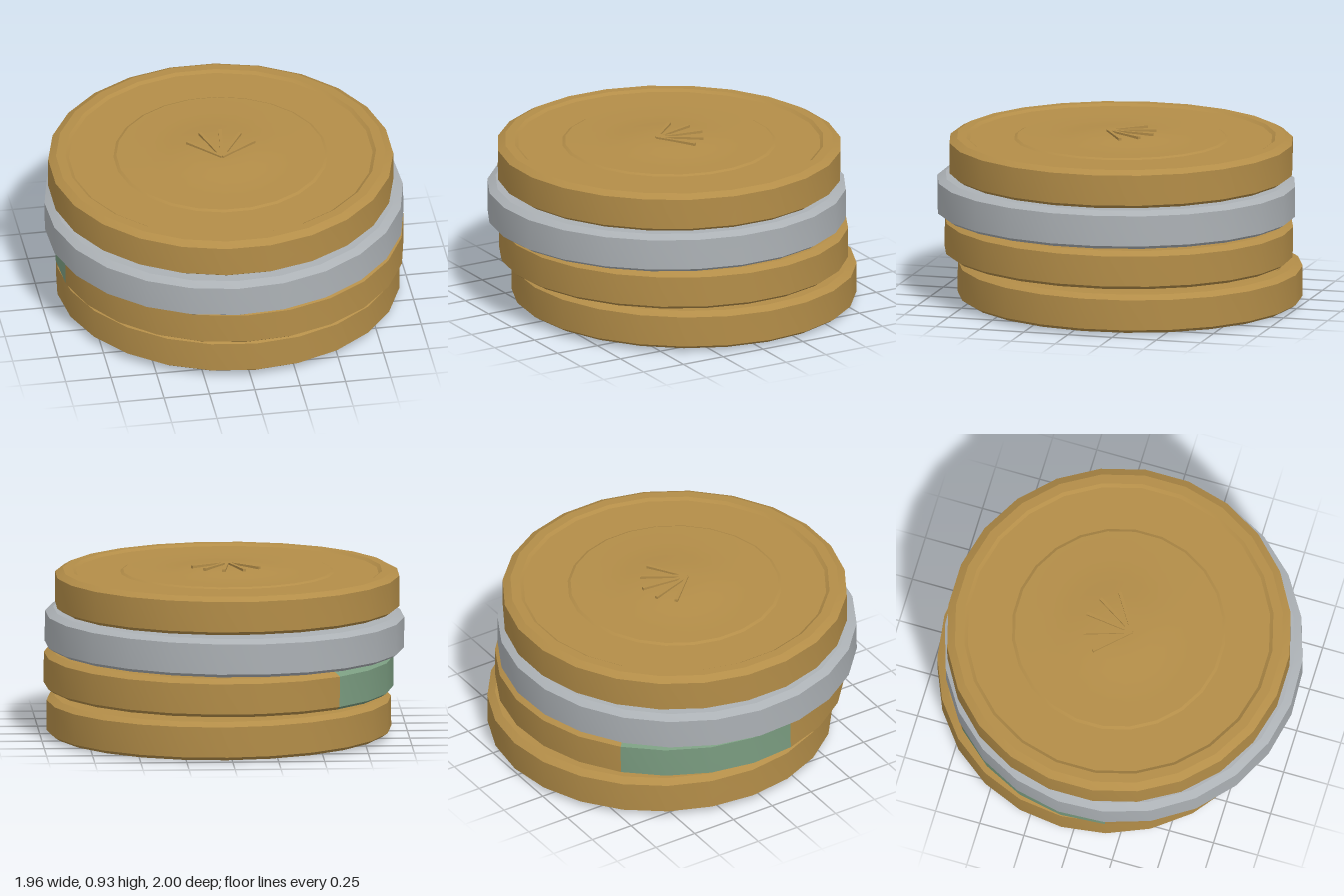
import * as THREE from 'three';
import { toCreasedNormals } from 'three/addons/utils/BufferGeometryUtils.js';

const SIDES = 24;
const deg = THREE.MathUtils.degToRad;

const mat = (name, color) => {
  const m = new THREE.MeshStandardMaterial({ color });
  m.name = name;
  return m;
};

// Coin turned from one profile: flat base, chamfered edge, raised rim, recess, domed middle
function coinGeometry(radius, start) {
  const profile = [
    [0, -0.005], [0.9, 0], [0.97, 0.006], [1, 0.025],
    [1, 0.192], [0.955, 0.215],
    [0.9, 0.216], [0.88, 0.203],
    [0.622, 0.203], [0.605, 0.211],
    [0.44, 0.213], [0.29, 0.219], [0.21, 0.231], [0.1, 0.234], [0, 0.235],
  ].map(([r, y]) => new THREE.Vector2(r * radius, y));
  const lathe = new THREE.LatheGeometry(profile, SIDES, deg(start), Math.PI * 2);
  const perSide = (profile.length - 1) * 6;
  const geometry = toCreasedNormals(lathe, 0.4);
  return { geometry, perSide };
}

export function createModel() {
  const model = new THREE.Group();
  model.name = 'coinStack';
  const gold = mat('gold', 0xb38d48);
  const silver = mat('silver', 0xacb1b5);
  const green = mat('patinaGreen', 0x7a9c80);

  // The four coins, each a little shifted, turned and tilted
  const coins = [
    { name: 'bottomCoin', r: 0.937, pos: [0.028, 0.018, -0.065], start: 0, tilt: [-0.011, -0.005], m: gold },
    { name: 'secondCoin', r: 0.95, pos: [0.028, 0.25, 0], start: -139, tilt: [-0.015, 0.007], m: gold, patch: 4 },
    { name: 'silverCoin', r: 0.977, pos: [-0.005, 0.465, 0.024], start: -5, tilt: [-0.01, 0.012], m: silver },
    { name: 'topCoin', r: 0.938, pos: [-0.02, 0.69, 0], start: 7.5, tilt: [-0.004, 0], m: gold },
  ];
  for (const c of coins) {
    const { geometry, perSide } = coinGeometry(c.r, c.start);
    let material = c.m;
    if (c.patch) {
      // Green patch on the first few sides
      const n = c.patch * perSide;
      geometry.clearGroups();
      geometry.addGroup(0, n, 1);
      geometry.addGroup(n, geometry.attributes.position.count - n, 0);
      material = [c.m, green];
    }
    const coin = new THREE.Mesh(geometry, material);
    coin.name = c.name;
    coin.position.set(...c.pos);
    coin.rotation.set(c.tilt[0], 0, c.tilt[1]);
    model.add(coin);
  }

  // Fan of raised rays on the top coin
  const fan = new THREE.Group();
  fan.name = 'rayFan';
  const [x0, z0] = [-0.025, 0.075];
  for (const [x, z] of [[-0.19, -0.1], [-0.105, -0.175], [0.008, -0.19], [0.11, -0.142], [0.175, -0.052]]) {
    const length = Math.hypot(x - x0, z - z0);
    const ray = new THREE.Mesh(new THREE.BoxGeometry(0.018, 0.03, length), gold);
    ray.name = 'ray';
    ray.position.set((x + x0) / 2, 0.92, (z + z0) / 2);
    ray.rotation.y = Math.atan2(x - x0, z - z0);
    fan.add(ray);
  }
  model.add(fan);
  return model;
}
